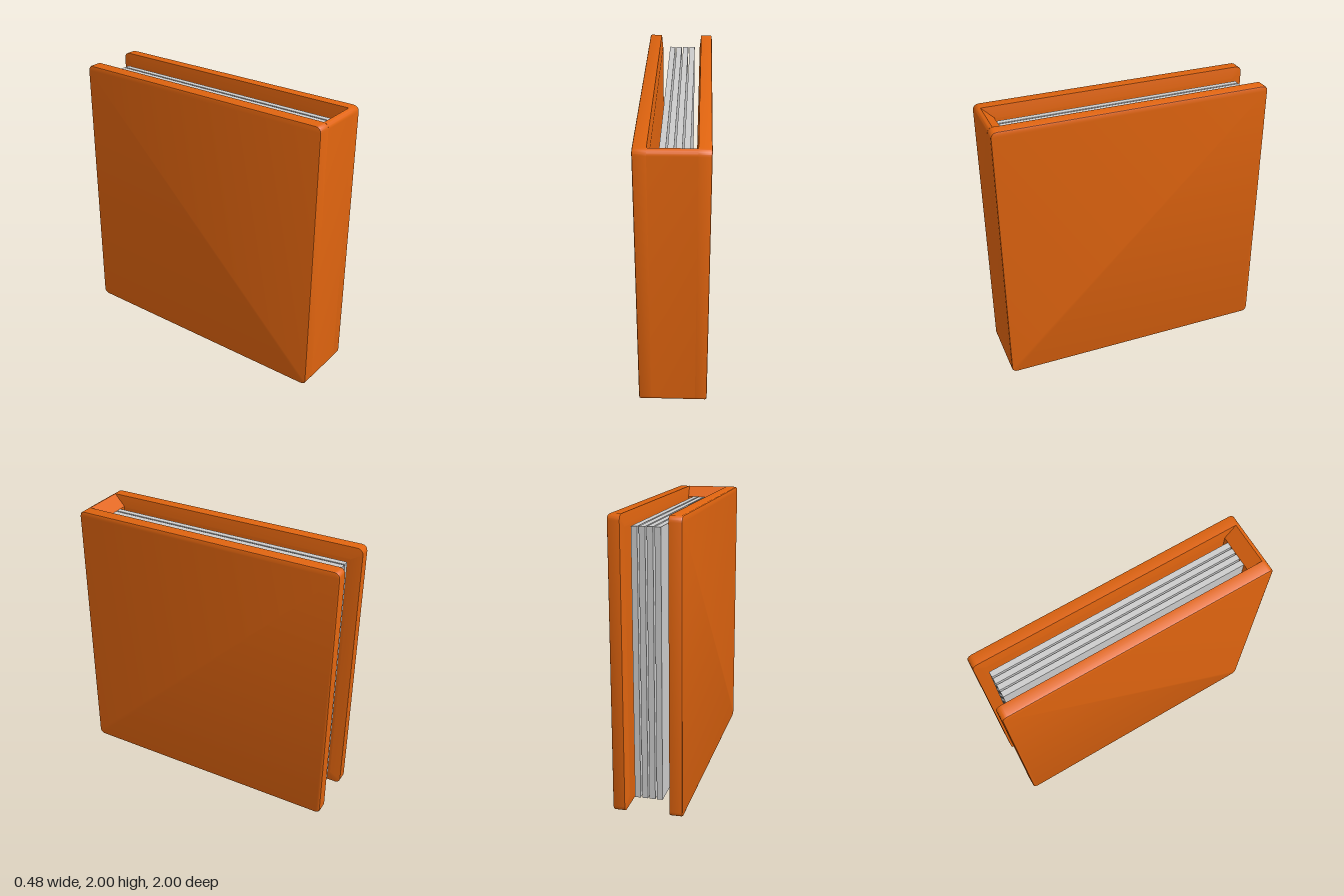
import * as THREE from 'three';
import { toCreasedNormals } from 'three/addons/utils/BufferGeometryUtils.js';

const CORNER = 0.04;

// Rounded square outline in the side plane (u = -z, y), counter-clockwise
function outline(inset) {
  const r = Math.max(CORNER - inset, 0.008);
  const c = 1 - inset - r;
  const pts = [];
  [[1, 1], [-1, 1], [-1, -1], [1, -1]].forEach(([su, sv], k) => {
    for (let i = 0; i <= 4; i++) {
      const a = (k + i / 4) * Math.PI / 2;
      pts.push([su * c + r * Math.cos(a), 1 + sv * c + r * Math.sin(a)]);
    }
  });
  return pts;
}

// Solid lofted along x through [x, inset] sections in ascending x
function loft(sections) {
  const pos = [], index = [];
  sections.forEach(([x, inset]) => outline(inset).forEach(([u, y]) => pos.push(x, y, -u)));
  const n = outline(0).length;
  const last = (sections.length - 1) * n;
  for (let s = 0; s < sections.length - 1; s++) {
    for (let i = 0; i < n; i++) {
      const a = s * n + i, b = s * n + (i + 1) % n;
      index.push(a, b, b + n, a, b + n, a + n);
    }
  }
  for (let i = 1; i < n - 1; i++) {
    index.push(0, i + 1, i, last, last + i, last + i + 1);
  }
  const g = new THREE.BufferGeometry();
  g.setAttribute('position', new THREE.Float32BufferAttribute(pos, 3));
  g.setIndex(index);
  return toCreasedNormals(g, 0.6);
}

export function createModel() {
  const book = new THREE.Group();
  book.name = 'book';
  const coverMat = new THREE.MeshStandardMaterial({ color: 0xe0640f });
  const pageMat = new THREE.MeshStandardMaterial({ color: 0xcccccc });

  function add(geometry, material, name) {
    const mesh = new THREE.Mesh(geometry, material);
    mesh.name = name;
    book.add(mesh);
    return mesh;
  }

  // Covers: softened outer edge, bevelled inner panel
  const coverSections = (panel, rim) => [
    [panel, 0.08], [rim, 0], [0.23, 0], [0.237, 0.004], [0.24, 0.012],
  ];
  add(loft(coverSections(0.147, 0.157)), coverMat, 'leftCover');
  const mirrored = coverSections(0.14, 0.152).map(([x, inset]) => [-x, inset]).reverse();
  add(loft(mirrored), coverMat, 'rightCover');

  // Spine: follows the cover corners outside, slopes inward at both ends
  const spine = new THREE.Shape();
  const r = CORNER;
  spine.moveTo(-0.88, 0.08);
  spine.lineTo(-0.88, 1.92);
  spine.lineTo(-0.965, 2);
  spine.absarc(-1 + r, 2 - r, r, Math.PI / 2 + 0.15, Math.PI, false);
  spine.absarc(-1 + r, r, r, Math.PI, Math.PI * 1.5 - 0.15, false);
  spine.lineTo(-0.965, 0);
  spine.closePath();
  const spineGeo = new THREE.ExtrudeGeometry(spine, { depth: 0.309, bevelEnabled: false, curveSegments: 4 });
  spineGeo.rotateY(Math.PI / 2).translate(-0.152, 0, 0);
  add(toCreasedNormals(spineGeo, 0.6), coverMat, 'spine');

  // Page blocks standing between the covers
  for (let i = 0; i < 4; i++) {
    const page = add(new THREE.BoxGeometry(0.04, 1.84, 1.81), pageMat, 'pages' + (i + 1));
    page.position.set(-0.065 + i * 0.051, 1, -0.015);
  }
  return book;
}
